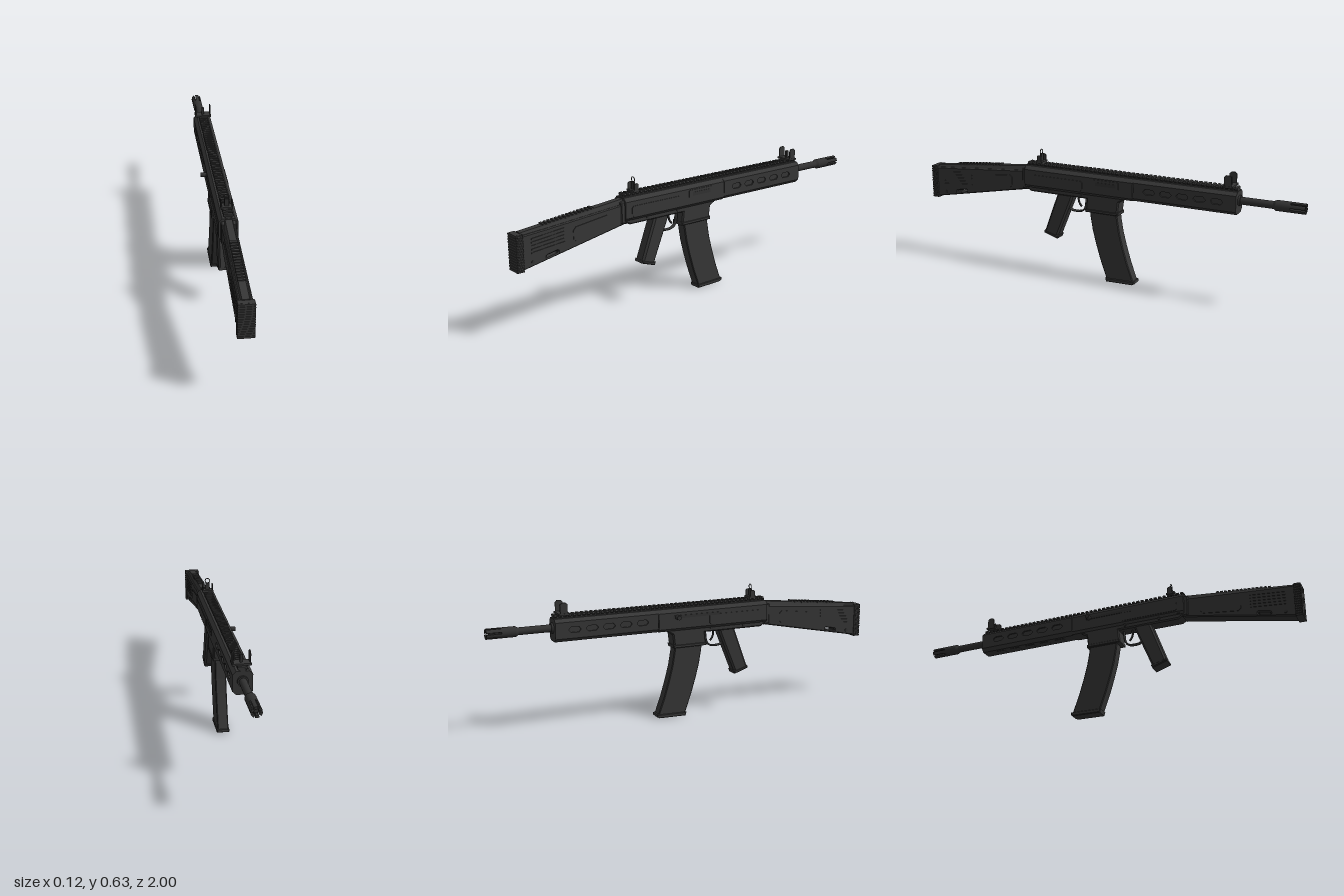
import * as THREE from 'three';

const C = 0.013; // the centre plane of the body
const body = new THREE.MeshStandardMaterial({ color: 0x363636 });
body.name = 'charcoal';
const steel = new THREE.MeshStandardMaterial({ color: 0x313131 });
steel.name = 'dark steel';

export function createModel() {
  const g = new THREE.Group();
  g.name = 'rifle';

  const add = (name, geo, x = 0, y = 0, z = 0, mat = body) => {
    const m = new THREE.Mesh(geo, mat);
    m.name = name;
    m.position.set(x, y, z);
    g.add(m);
    return m;
  };
  const box = (name, w, h, d, x, y, z, mat) => add(name, new THREE.BoxGeometry(w, h, d), x, y, z, mat);
  const poly = (pts, Type = THREE.Shape) => new Type(pts.map(([a, b]) => new THREE.Vector2(a, b)));

  // Side outline given as [z, y], extruded across the width, centred on x = cx
  const side = (name, pts, half, bevel = 0, cx = C, holes = []) => {
    const s = poly(pts.map(([z, y]) => [-z, y]));
    for (const h of holes) s.holes.push(poly(h.map(([z, y]) => [-z, y]), THREE.Path));
    const geo = new THREE.ExtrudeGeometry(s, {
      depth: 2 * (half - bevel), bevelEnabled: bevel > 0, bevelSize: bevel,
      bevelThickness: bevel, bevelOffset: -bevel, bevelSegments: 1,
    });
    geo.translate(0, 0, -(half - bevel));
    geo.rotateY(Math.PI / 2);
    return add(name, geo, cx);
  };
  // Cross-section given as [x, y], extruded from z0 to z1
  const along = (name, pts, z0, z1, x = C, mat = body) =>
    add(name, new THREE.ExtrudeGeometry(poly(pts), { depth: z1 - z0, bevelEnabled: false, curveSegments: 6 }), x, 0, z0, mat);
  const mirrored = (pts) => [...pts, ...pts.slice().reverse().map(([x, y]) => [-x, y])];
  // Rectangle with cut corners, in [z, y], optionally sloped
  const cutRect = (z, y, w, h, c, slope = 0) =>
    [[-w, -h + c], [-w + c, -h], [w - c, -h], [w, -h + c], [w, h - c], [w - c, h], [-w + c, h], [-w, h - c]]
      .map(([a, b]) => [z + a, y + b + a * slope]);
  const rod = (name, r, z0, z1, y, mat, r2 = r) => {
    const geo = new THREE.CylinderGeometry(r, r2, z1 - z0, 20);
    geo.rotateX(Math.PI / 2);
    return add(name, geo, C, y, (z0 + z1) / 2, mat);
  };

  // Upper receiver and handguard
  along('upperReceiver', mirrored([[0.036, 0.44], [0.045, 0.452], [0.045, 0.531], [0.029, 0.549]]), -0.165, 0.43);
  along('handguardCore', mirrored([[0.024, 0.441], [0.038, 0.457], [0.038, 0.533], [0.028, 0.547]]), -0.685, -0.165);
  along('handguardTop', mirrored([[0.045, 0.528], [0.045, 0.533], [0.029, 0.549]]), -0.685, -0.165);
  along('handguardBottom', mirrored([[0.028, 0.44], [0.045, 0.456], [0.045, 0.462]]), -0.685, -0.165);
  const vents = [0, 1, 2, 3, 4].map((i) => cutRect(-0.25 - i * 0.085, 0.496, 0.029, 0.013, 0.01));
  for (const s of [-1, 1])
    side('handguardSide', [[-0.168, 0.46], [-0.685, 0.46], [-0.685, 0.53], [-0.168, 0.53]], 0.004, 0, C + s * 0.041, vents);
  for (let i = 0; i < 5; i++) box('lowerRib', 0.03, 0.004, 0.05, C, 0.44, -0.25 - i * 0.085);

  // Lower receiver with the magazine well
  side('lowerReceiver', [
    [0.43, 0.46], [0.43, 0.436], [0.4, 0.418], [0.085, 0.418], [0.092, 0.357], [-0.08, 0.357],
    [-0.088, 0.42], [-0.115, 0.435], [-0.118, 0.46],
  ], 0.036, 0.006);
  side('wellCollar', [[0.094, 0.352], [-0.084, 0.352], [-0.086, 0.368], [0.092, 0.368]], 0.038, 0.003);

  // Receiver side details
  for (const s of [-1, 1]) {
    side('receiverPanel', cutRect(0.25, 0.483, 0.145, 0.025, 0.008), 0.002, 0, C + s * 0.046,
      [cutRect(0.25, 0.483, 0.139, 0.019, 0.006)]);
    for (const [z, y] of [[0.3, 0.436], [0.12, 0.436], [0.4, 0.447]]) {
      const pin = new THREE.CylinderGeometry(0.007, 0.007, 0.006, 12);
      pin.rotateZ(Math.PI / 2);
      add('pin', pin, C + s * 0.037, y, z, steel);
    }
  }
  side('ejectionPort', cutRect(-0.018, 0.505, 0.074, 0.02, 0.004), 0.002, 0, C + 0.046,
    [cutRect(-0.018, 0.505, 0.068, 0.014, 0.003)]);
  box('boltCover', 0.002, 0.018, 0.11, C + 0.0455, 0.503, -0.022, steel);

  // Charging handle on the right side, with its track
  box('handleTrack', 0.004, 0.014, 0.25, C - 0.046, 0.51, 0.035, steel);
  const knob = new THREE.CylinderGeometry(0.011, 0.011, 0.03, 14);
  knob.rotateZ(Math.PI / 2);
  add('chargingHandle', knob, -0.045, 0.509, -0.07, steel);

  // Toothed top rail
  box('railBase', 0.032, 0.012, 1.11, C, 0.552, -0.128);
  const tooth = mirrored([[0.014, 0.551], [0.023, 0.558], [0.023, 0.562], [0.02, 0.567]]);
  for (let i = 0; i < 48; i++) along('railTooth', tooth, -0.682 + i * 0.0232, -0.669 + i * 0.0232);

  // Sights: base, two ears and a middle piece
  const ears = (name, z, spread, top, w) => {
    for (const s of [-1, 1])
      side(name, [[z - w, 0.57], [z + w, 0.57], [z + w, top - w * 0.5], [z + w * 0.5, top], [z - w * 0.5, top], [z - w, top - w * 0.5]],
        0.0025, 0, C + s * spread);
  };
  box('frontSightBase', 0.085, 0.009, 0.05, C, 0.5695, -0.64);
  ears('frontSightEar', -0.64, 0.038, 0.625, 0.018);
  box('frontSightPost', 0.012, 0.04, 0.014, C, 0.59, -0.64, steel);
  box('rearSightBase', 0.056, 0.009, 0.036, C, 0.5695, 0.355);
  ears('rearSightEar', 0.355, 0.025, 0.606, 0.012);
  box('rearSightPost', 0.02, 0.04, 0.009, C, 0.591, 0.355, steel);
  add('rearSightRing', new THREE.TorusGeometry(0.012, 0.002, 6, 20), C, 0.621, 0.355, steel);

  // Barrel and slotted muzzle
  rod('barrel', 0.018, -0.87, -0.67, 0.503, steel);
  rod('barrelCollar', 0.025, -0.695, -0.68, 0.503, steel);
  rod('muzzleBody', 0.025, -0.93, -0.862, 0.503, steel);
  rod('muzzleTaper', 0.018, -0.862, -0.85, 0.503, steel, 0.025);
  rod('muzzleCore', 0.01, -0.985, -0.92, 0.503, steel);
  for (let i = 0; i < 6; i++) {
    const a = i * Math.PI / 3, s = new THREE.Shape();
    s.absarc(0, 0, 0.025, a, a + 0.75, false);
    s.absarc(0, 0, 0.013, a + 0.75, a, true);
    const geo = new THREE.ExtrudeGeometry(s, { depth: 0.072, bevelEnabled: false, curveSegments: 5 });
    add('muzzleProng', geo, C, 0.503, -1, steel);
  }

  // Stock with a through slot, narrowing comb and ridged butt pad
  side('stock', [[0.975, 0.318], [0.43, 0.424], [0.43, 0.522], [0.85, 0.487], [0.975, 0.478]], 0.032, 0.005, C,
    [cutRect(0.82, 0.364, 0.03, 0.006, 0.003, -0.2)]);
  const comb = new THREE.BoxGeometry(1, 1, 1);
  const p = comb.attributes.position;
  for (let i = 0; i < p.count; i++) {
    const front = p.getZ(i) < 0, top = p.getY(i) > 0;
    const y = front ? (top ? 0.544 : 0.51) : (top ? 0.489 : 0.465);
    p.setXYZ(i, Math.sign(p.getX(i)) * (top ? 0.016 : 0.029), y, front ? 0.43 : 0.97);
  }
  comb.computeVertexNormals();
  add('stockComb', comb, C);
  for (let i = 0; i < 14; i++) {
    const z = 0.595 + i * 0.0195;
    box('combRidge', 0.036, 0.012, 0.012, C, 0.544 - (z - 0.43) * 0.102, z).rotation.x = 0.1;
  }
  box('buttPad', 0.072, 0.17, 0.026, C, 0.4, 0.979);
  for (let i = 0; i < 14; i++)
    along('buttRidge', mirrored([[0.035, 0], [0.038, 0.002], [0.038, 0.008], [0.035, 0.0105]]), 0.966, 1).position.y = 0.314 + i * 0.0123;
  side('stockSocket', [[0.45, 0.43], [0.42, 0.425], [0.42, 0.54], [0.45, 0.53]], 0.036, 0.005);
  for (const s of [-1, 1]) {
    side('stockPanel', cutRect(0.61, 0.444, 0.1, 0.034, 0.014, -0.13), 0.002, 0, C + s * 0.033,
      [cutRect(0.61, 0.444, 0.093, 0.027, 0.011, -0.13)]);
    for (let i = 0; i < 5; i++)
      side('stockRib', cutRect(0.84, 0.4 + i * 0.016, 0.085, 0.003, 0.001, -0.1), 0.002, 0, C + s * 0.033);
    const stud = new THREE.CylinderGeometry(0.008, 0.008, 0.004, 12);
    stud.rotateZ(Math.PI / 2);
    add('stockStud', stud, C + s * 0.033, 0.35, 0.92, steel);
  }

  // Pistol grip
  side('grip', [[0.25, 0.43], [0.165, 0.43], [0.172, 0.4], [0.258, 0.19], [0.33, 0.212]], 0.031, 0.009);
  side('gripCap', [[0.328, 0.222], [0.332, 0.209], [0.257, 0.184], [0.25, 0.2]], 0.033, 0.004);

  // Trigger and its guard
  const curve = (pts) => new THREE.CatmullRomCurve3(pts.map(([z, y]) => new THREE.Vector3(0, y, z)));
  const guard = new THREE.TubeGeometry(curve([[0.2, 0.35], [0.18, 0.34], [0.13, 0.342], [0.11, 0.36], [0.1, 0.425]]), 20, 0.005, 6);
  guard.scale(2.4, 1, 1);
  add('triggerGuard', guard, C);
  const trigger = new THREE.TubeGeometry(curve([[0.145, 0.425], [0.147, 0.395], [0.14, 0.377], [0.13, 0.364]]), 12, 0.005, 6);
  add('trigger', trigger, C, 0, 0, steel);

  // Curved magazine
  const mag = [[0.077, 0.4], [0.07, 0.33], [0.058, 0.26], [0.04, 0.19], [0.016, 0.11], [-0.018, 0.015]];
  const front = mag.map(([z, y]) => [z - 0.147, y]).reverse();
  side('magazine', [...mag, ...front], 0.027, 0.004);
  side('magazineBase', [[-0.013, 0.018], [-0.018, 0], [-0.16, 0.003], [-0.172, 0.01], [-0.17, 0.022]], 0.031, 0.003);

  return g;
}
